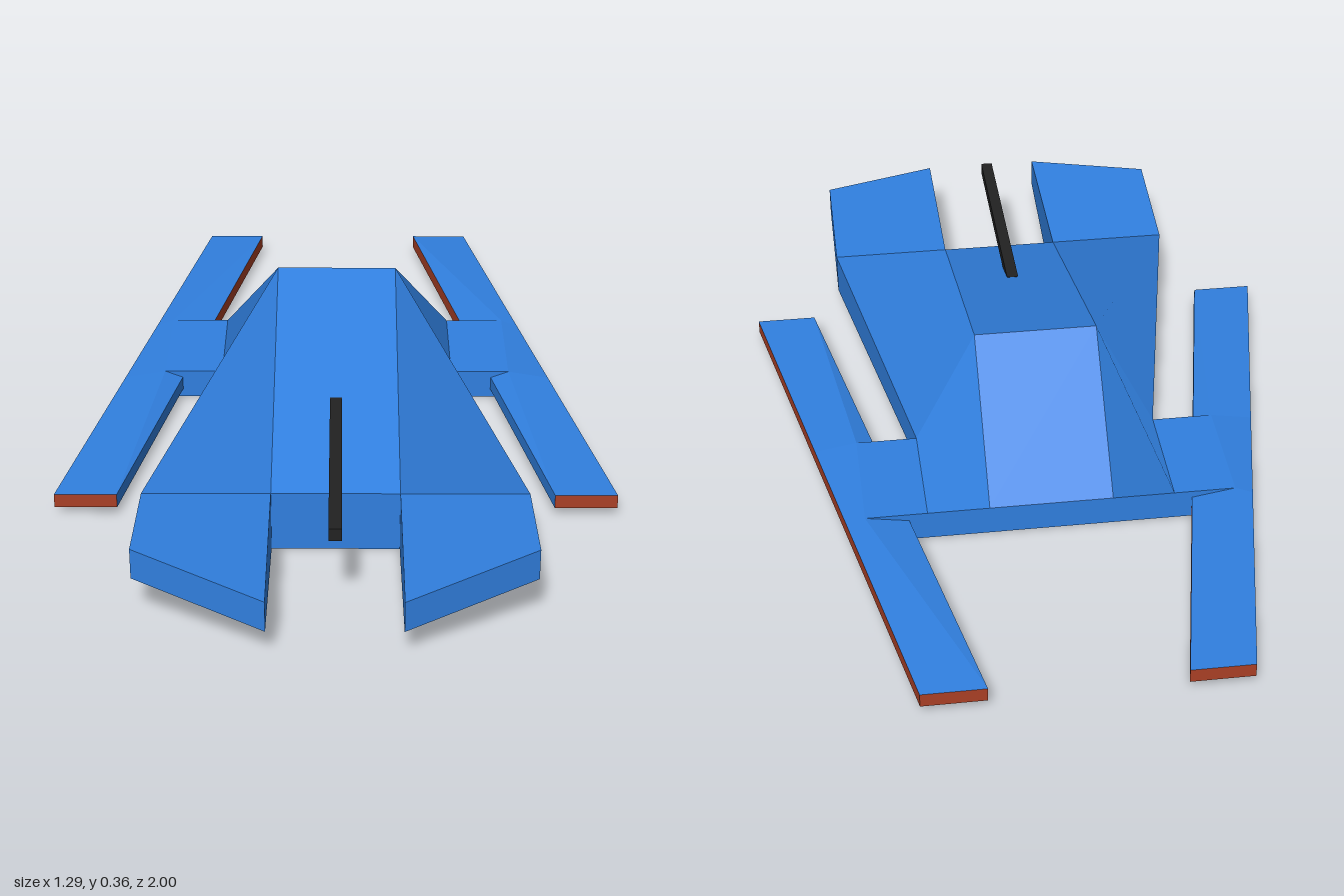
import * as THREE from 'three';

const blue = new THREE.MeshStandardMaterial({ color: 0x3180e0 });
blue.name = 'hullBlue';
const red = new THREE.MeshStandardMaterial({ color: 0xab4026 });
red.name = 'runnerRed';
const black = new THREE.MeshStandardMaterial({ color: 0x222222 });
black.name = 'gunBlack';

// Flat panels: each is [outward hint, corner, corner, ...], fanned from its
// first corner and given one normal. side = -1 mirrors the panels in x.
function panels(name, material, list, side = 1) {
  const pos = [], nor = [];
  for (const [hint, ...corners] of list) {
    let p = corners.map(([x, y, z]) => new THREE.Vector3(x * side, y, z));
    const out = new THREE.Vector3(hint[0] * side, hint[1], hint[2]);
    const n = new THREE.Vector3();
    p.forEach((a, i) => n.add(a.clone().cross(p[(i + 1) % p.length])));
    n.normalize();
    if (n.dot(out) < 0) {
      n.negate();
      p = [p[0], ...p.slice(1).reverse()];
    }
    for (let i = 1; i < p.length - 1; i++) {
      for (const v of [p[0], p[i], p[i + 1]]) {
        pos.push(v.x, v.y, v.z);
        nor.push(n.x, n.y, n.z);
      }
    }
  }
  const g = new THREE.BufferGeometry();
  g.setAttribute('position', new THREE.Float32BufferAttribute(pos, 3));
  g.setAttribute('normal', new THREE.Float32BufferAttribute(nor, 3));
  const mesh = new THREE.Mesh(g, material);
  mesh.name = name;
  return mesh;
}

function box(name, material, x0, x1, y0, y1, z0, z1) {
  const mesh = new THREE.Mesh(new THREE.BoxGeometry(x1 - x0, y1 - y0, z1 - z0), material);
  mesh.position.set((x0 + x1) / 2, (y0 + y1) / 2, (z0 + z1) / 2);
  mesh.name = name;
  return mesh;
}

const UP = [0, 1, 0], DOWN = [0, -1, 0], OUT = [1, 0, 0], IN = [-1, 0, 0];
const FRONT = [0, 0, 1], BACK = [0, 0, -1];
// Main stations across and along the hull
const A = 0.143, B = 0.286, C = 0.429;
const zBack = -0.429, zPeak = -0.143, zNose = 0.571;

function hullSide(side) {
  const peak = [A, 0.357, zPeak];
  return panels('hullSide', blue, [
    [[1, 1, 0], peak, [A, 0.143, zNose], [C, 0.143, zNose], [B, 0.071, zPeak]],
    [[1, 1, 0], peak, [B, 0.071, zPeak], [B, 0.071, zBack], [A, 0.071, zBack]],
    [OUT, [C, 0.143, zNose], [C, 0.04, zNose], [B, 0, zPeak], [B, 0.071, zPeak]],
    [DOWN, [A, 0, zNose], [C, 0.04, zNose], [B, 0, zPeak], [A, 0, zPeak]],
    [DOWN, [A, 0, zPeak], [B, 0, zPeak], [B, 0, zBack], [A, 0, zBack]],
    [BACK, [A, 0, zBack], [B, 0, zBack], [B, 0.071, zBack], [A, 0.071, zBack]],
  ], side);
}

function prong(side) {
  const tip = [A, 0.143, 1], tipLow = [A, 0.071, 1];
  const corner = [C, 0.179, 0.857], cornerLow = [C, 0.107, 0.857];
  const rootIn = [A, 0.143, zNose], rootInLow = [A, 0, zNose];
  const rootOut = [C, 0.143, zNose], rootOutLow = [C, 0.04, zNose];
  return panels('frontProng', blue, [
    [UP, rootIn, rootOut, corner, tip],
    [DOWN, rootInLow, rootOutLow, cornerLow, tipLow],
    [FRONT, tip, corner, cornerLow, tipLow],
    [OUT, rootOut, corner, cornerLow, rootOutLow],
    [IN, rootIn, tip, tipLow, rootInLow],
  ], side);
}

// Slanted runner: thin at both ends, swelling to meet the wing root
function runner(side) {
  const inner = (z, y) => [0.214 + 0.2 * (z + 1), y, z];
  const outer = (z, y) => [0.357 + 0.2 * (z + 1), y, z];
  const lo = 0.021, hi = 0.054, zF = 0.429;
  const strip = (dir, y, yRoot) => {
    const r0 = [C, yRoot, zBack], r1 = [C, yRoot, zPeak];
    return [
      [dir, inner(-1, y), outer(-1, y), outer(zBack, y), r0],
      [dir, r0, outer(zBack, y), outer(zPeak, y), r1],
      [dir, r1, outer(zPeak, y), outer(zF, y), inner(zF, y)],
      [dir, inner(-1, y), r0, inner(zBack, y)],
      [dir, inner(zF, y), r1, inner(zPeak, y)],
    ];
  };
  const g = new THREE.Group();
  g.name = 'runner';
  g.add(panels('runnerTop', blue, [
    ...strip(UP, hi, 0.071),
    [IN, inner(zPeak, lo), inner(zF, lo), inner(zF, hi), inner(zPeak, hi)],
  ], side));
  g.add(panels('runnerTrim', red, [
    ...strip(DOWN, lo, 0),
    [OUT, outer(-1, lo), outer(zF, lo), outer(zF, hi), outer(-1, hi)],
    [IN, inner(-1, lo), inner(zBack, lo), inner(zBack, hi), inner(-1, hi)],
    [FRONT, inner(zF, lo), outer(zF, lo), outer(zF, hi), inner(zF, hi)],
    [BACK, inner(-1, lo), outer(-1, lo), outer(-1, hi), inner(-1, hi)],
  ], side));
  return g;
}

export function createModel() {
  const model = new THREE.Group();
  model.name = 'hoverCraft';

  // Central slopes, nose wall, stern and belly
  model.add(panels('hullCentre', blue, [
    [UP, [-A, 0.357, zPeak], [A, 0.357, zPeak], [A, 0.143, zNose], [-A, 0.143, zNose]],
    [UP, [-A, 0.357, zPeak], [A, 0.357, zPeak], [A, 0.071, zBack], [-A, 0.071, zBack]],
    [FRONT, [-A, 0, zNose], [A, 0, zNose], [A, 0.143, zNose], [-A, 0.143, zNose]],
    [BACK, [-A, 0, zBack], [A, 0, zBack], [A, 0.071, zBack], [-A, 0.071, zBack]],
    [DOWN, [-A, 0, zBack], [A, 0, zBack], [A, 0, zNose], [-A, 0, zNose]],
  ]));

  // Mirrored sides, prongs, wing roots and runners
  for (const side of [1, -1]) {
    model.add(hullSide(side), prong(side), runner(side));
    const x0 = side > 0 ? B : -C;
    model.add(box('wingRoot', blue, x0, x0 + C - B, 0, 0.071, zBack, zPeak));
  }

  // Gun barrel
  model.add(box('gunBarrel', black, -0.014, 0.014, 0.2, 0.229, 0.286, 0.857));
  return model;
}
